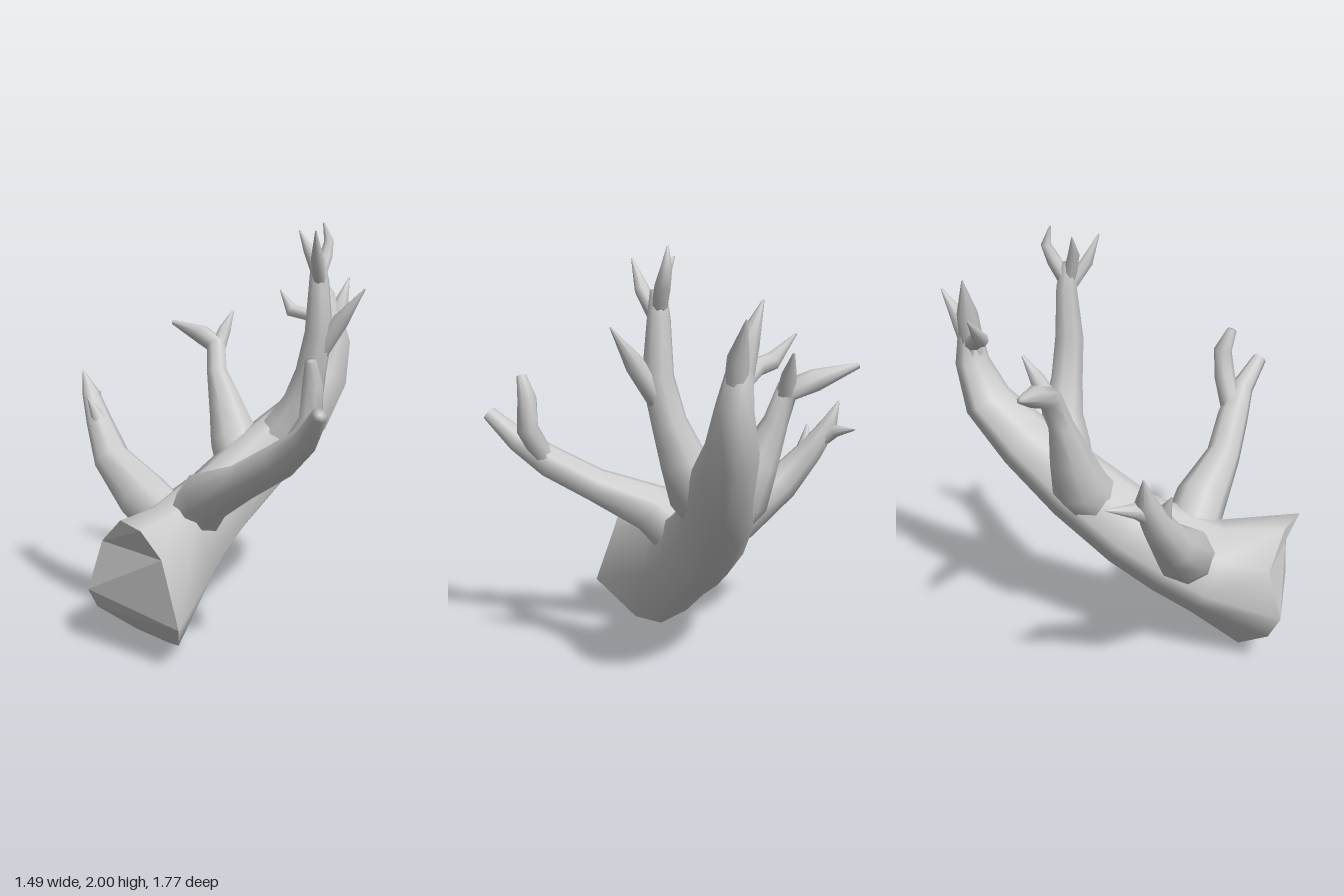
import * as THREE from 'three';

const material = new THREE.MeshStandardMaterial({ color: 0xcccccc, side: THREE.DoubleSide });
const vec = (p) => new THREE.Vector3(p[0], p[1], p[2]);

function meshFrom(name, positions, index) {
  const geometry = new THREE.BufferGeometry();
  geometry.setAttribute('position', new THREE.Float32BufferAttribute(positions, 3));
  if (index) geometry.setIndex(index);
  geometry.computeVertexNormals();
  const mesh = new THREE.Mesh(geometry, material);
  mesh.name = name;
  return mesh;
}

// Tapering limb through nodes [x, y, z, radius]; an optional rim replaces the first ring.
function limb(name, nodes, rim = null) {
  const pts = nodes.map(vec), last = pts.length - 1;
  const positions = [], index = [];
  let u = new THREE.Vector3(0.3, 0.2, 1);
  let spokes = Array.from({ length: 8 }, (_, i) => ({ a: (i / 8) * Math.PI * 2 }));

  pts.forEach((p, k) => {
    const t = new THREE.Vector3();
    if (k > 0) t.add(p.clone().sub(pts[k - 1]).normalize());
    if (k < last) t.add(pts[k + 1].clone().sub(p).normalize());
    t.normalize();
    u = u.clone().addScaledVector(t, -u.dot(t)).normalize();
    const v = t.clone().cross(u);
    if (k === 0 && rim) {
      spokes = rim.map((corner) => {
        const d = vec(corner).sub(p);
        return { start: vec(corner), a: Math.atan2(d.dot(v), d.dot(u)) };
      }).sort((s1, s2) => s1.a - s2.a);
    }
    for (const { a, start } of spokes) {
      const q = k === 0 && start ? start : p.clone()
        .addScaledVector(u, Math.cos(a) * nodes[k][3])
        .addScaledVector(v, Math.sin(a) * nodes[k][3]);
      positions.push(q.x, q.y, q.z);
    }
  });

  const n = spokes.length;
  for (let k = 0; k < last; k++) {
    for (let i = 0; i < n; i++) {
      const a = k * n + i, b = k * n + ((i + 1) % n);
      index.push(a, b, a + n, b, b + n, a + n);
    }
  }
  // Close the tip
  positions.push(pts[last].x, pts[last].y, pts[last].z);
  for (let i = 0; i < n; i++) index.push((last + 1) * n, last * n + i, last * n + ((i + 1) % n));
  return meshFrom(name, positions, index);
}

// Faceted broken face: bands across the rim from top to bottom
function brokenEnd(rim) {
  const positions = [], end = rim.length - 1;
  for (let i = 0; i < rim.length / 2 - 1; i++) {
    for (const c of [i, i + 1, end - i, i + 1, end - i - 1, end - i]) positions.push(...rim[c]);
  }
  return meshFrom('brokenEnd', positions);
}

export function createModel() {
  const group = new THREE.Group();
  group.name = 'brokenTree';

  // Trunk, leaning up and back from its ragged lower end
  const rim = [
    [-0.54, 0.64, 0.34], [-0.63, 0.5, 0.17], [-0.7, 0.27, 0.19], [-0.66, 0.17, 0.15],
    [-0.47, 0.04, 0.13], [-0.33, 0, 0.21], [-0.28, 0.03, 0.34], [-0.29, 0.2, 0.6],
    [-0.36, 0.5, 0.52], [-0.45, 0.635, 0.52],
  ];
  const trunk = limb('trunk', [
    [-0.47, 0.32, 0.35, 0.3], [-0.29, 0.42, 0.06, 0.24], [-0.18, 0.5, -0.07, 0.22],
    [-0.03, 0.6, -0.21, 0.195], [0.2, 0.785, -0.37, 0.18], [0.44, 0.975, -0.51, 0.15],
    [0.59, 1.17, -0.63, 0.12], [0.65, 1.37, -0.67, 0.082], [0.63, 1.5, -0.68, 0.06],
    [0.61, 1.57, -0.69, 0.035],
  ], rim);
  group.add(trunk, brokenEnd(rim));

  // Main branches start on the trunk's axis, twigs inside their branch
  const branches = {
    // Trunk crown
    crownTwigLeft: [[0.64, 1.42, -0.67, 0.05], [0.68, 1.57, -0.7, 0.045], [0.74, 1.72, -0.76, 0.004]],
    crownTwigTop: [[0.63, 1.42, -0.67, 0.06], [0.6, 1.62, -0.7, 0.05], [0.54, 1.79, -0.74, 0.004]],
    crownTwigRight: [[0.63, 1.46, -0.68, 0.045], [0.5, 1.52, -0.7, 0.038],
      [0.41, 1.54, -0.73, 0.038], [0.36, 1.65, -0.81, 0.004]],
    // Upright branch
    uprightBranch: [[0.22, 0.79, -0.38, 0.12], [0.35, 0.95, -0.35, 0.135], [0.41, 1.09, -0.315, 0.105],
      [0.44, 1.25, -0.265, 0.08], [0.47, 1.45, -0.225, 0.072], [0.47, 1.7, -0.23, 0.052],
      [0.46, 1.82, -0.22, 0.035]],
    uprightTwigLow: [[0.46, 1.31, -0.245, 0.045], [0.57, 1.51, -0.17, 0.045], [0.68, 1.67, -0.12, 0.004]],
    uprightTwigFront: [[0.47, 1.7, -0.22, 0.035], [0.44, 1.82, -0.13, 0.032], [0.42, 1.95, -0.07, 0.004]],
    uprightTwigBack: [[0.47, 1.73, -0.23, 0.035], [0.51, 1.83, -0.27, 0.035],
      [0.53, 1.91, -0.3, 0.025], [0.5, 2, -0.29, 0.004]],
    uprightTwigRight: [[0.46, 1.75, -0.22, 0.035], [0.41, 1.87, -0.22, 0.028], [0.37, 1.96, -0.25, 0.004]],
    // Back branch
    backBranch: [[0.09, 0.7, -0.3, 0.13], [0.06, 0.87, -0.44, 0.135], [0.025, 1.03, -0.5, 0.1],
      [-0.02, 1.22, -0.57, 0.058], [-0.02, 1.36, -0.62, 0.055], [-0.09, 1.41, -0.73, 0.052],
      [-0.24, 1.47, -0.88, 0.014]],
    backTwig: [[-0.02, 1.32, -0.61, 0.045], [0.03, 1.44, -0.65, 0.035], [0.08, 1.54, -0.69, 0.006]],
    // Right branch
    rightBranch: [[-0.24, 0.46, 0, 0.14], [-0.43, 0.63, -0.19, 0.135], [-0.59, 0.795, -0.37, 0.095],
      [-0.655, 0.97, -0.5, 0.068], [-0.7, 1.11, -0.585, 0.045], [-0.74, 1.23, -0.62, 0.004]],
    rightTwigBack: [[-0.66, 1.0, -0.51, 0.045], [-0.69, 1.08, -0.62, 0.035], [-0.65, 1.1, -0.74, 0.004]],
    rightTwigFront: [[-0.63, 0.91, -0.45, 0.045], [-0.67, 1.02, -0.47, 0.032], [-0.71, 1.1, -0.46, 0.004]],
    // Front branch
    frontBranch: [[-0.22, 0.5, -0.03, 0.14], [-0.13, 0.7, 0.15, 0.13], [0.01, 0.82, 0.4, 0.088],
      [0.155, 0.95, 0.58, 0.082], [0.24, 1.06, 0.71, 0.06], [0.275, 1.19, 0.86, 0.037]],
    frontTwig: [[0.17, 0.95, 0.59, 0.055], [0.28, 1.13, 0.62, 0.055], [0.29, 1.28, 0.61, 0.048],
      [0.27, 1.39, 0.655, 0.025]],
  };
  for (const [name, nodes] of Object.entries(branches)) group.add(limb(name, nodes));
  return group;
}
